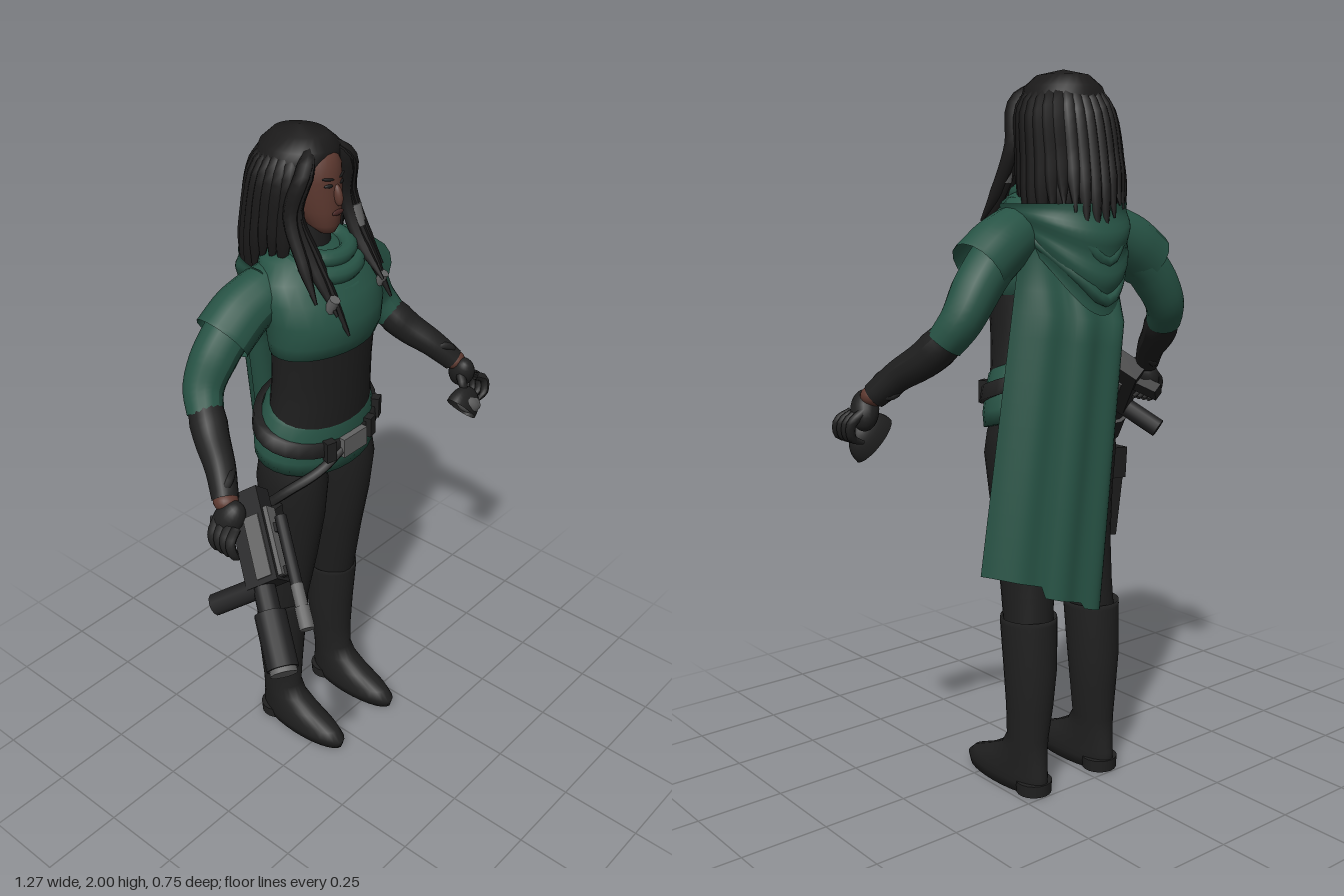
import * as THREE from 'three';

const mat = (name, color, side = THREE.FrontSide) => {
  const m = new THREE.MeshStandardMaterial({ color, side });
  m.name = name;
  return m;
};
const V = (a) => new THREE.Vector3(...a);
const CX = 0.06; // the body's centre line

// Stacked ellipses, rows ascending: [y, x, z, halfWidth, halfDepth]; tilt lowers the front
function loft(rows, sides = 28, tilt = 0) {
  const pos = [], idx = [];
  rows.forEach(([y, x, z, rx, rz], j) => {
    for (let i = 0; i < sides; i++) {
      const a = (i / sides) * Math.PI * 2;
      pos.push(x + rx * Math.cos(a), y - tilt * Math.sin(a), z + rz * Math.sin(a));
      if (j === rows.length - 1) continue;
      const p = j * sides + i, q = j * sides + (i + 1) % sides;
      idx.push(p, p + sides, q, q, p + sides, q + sides);
    }
  });
  const g = new THREE.BufferGeometry();
  g.setAttribute('position', new THREE.Float32BufferAttribute(pos, 3));
  g.setIndex(idx);
  g.computeVertexNormals();
  return g;
}

// Tube whose radius follows a list of radii
function sweep(points, radii, sides = 12, segs = 16) {
  const curve = new THREE.CatmullRomCurve3(points.map(V));
  const g = new THREE.TubeGeometry(curve, segs, 1, sides);
  const p = g.attributes.position, v = new THREE.Vector3();
  for (let i = 0; i <= segs; i++) {
    const c = curve.getPointAt(i / segs), f = (i / segs) * (radii.length - 1);
    const k = Math.min(Math.floor(f), radii.length - 2);
    const r = THREE.MathUtils.lerp(radii[k], radii[k + 1], f - k);
    for (let j = 0; j <= sides; j++) {
      const n = i * (sides + 1) + j;
      v.fromBufferAttribute(p, n).sub(c).multiplyScalar(r).add(c);
      p.setXYZ(n, v.x, v.y, v.z);
    }
  }
  g.computeVertexNormals();
  return g;
}

// Cloth sheet from a function of u and v
function sheet(fn, nu, nv) {
  const g = new THREE.PlaneGeometry(1, 1, nu, nv), p = g.attributes.position;
  for (let i = 0; i < p.count; i++) p.setXYZ(i, ...fn(p.getX(i) + 0.5, 0.5 - p.getY(i)));
  g.computeVertexNormals();
  return g;
}

export function createModel() {
  const root = new THREE.Group();
  const green = mat('green cloth', 0x275345, THREE.DoubleSide);
  const suit = mat('black suit', 0x1e1e1e);
  const leather = mat('dark leather', 0x202020, THREE.DoubleSide);
  const hair = mat('black hair', 0x1b1a1a);
  const skin = mat('brown skin', 0x5c382f);
  const lip = mat('dark lips', 0x4a2826);
  const gun = mat('gun black', 0x222223);
  const metal = mat('grey metal', 0x626262);

  const add = (name, geo, m, pos = [0, 0, 0], rot = [0, 0, 0], parent = root, scale = [1, 1, 1]) => {
    const o = new THREE.Mesh(geo, m);
    o.name = name;
    o.position.set(...pos);
    o.rotation.set(...rot);
    o.scale.set(...scale);
    parent.add(o);
  };
  const box = (w, h, d) => new THREE.BoxGeometry(w, h, d);
  const ball = new THREE.SphereGeometry(1, 20, 14);

  // Torso
  add('waist', loft([[1.15, CX, -0.11, 0.185, 0.12], [1.25, CX, -0.1, 0.174, 0.116],
    [1.32, CX, -0.095, 0.172, 0.113], [1.42, CX, -0.09, 0.178, 0.113]]), suit);
  add('croppedTop', loft([[1.405, CX, -0.09, 0.165, 0.1], [1.41, CX, -0.09, 0.184, 0.118],
    [1.45, CX, -0.085, 0.192, 0.13], [1.51, CX, -0.085, 0.195, 0.135], [1.57, CX, -0.1, 0.2, 0.125],
    [1.62, CX, -0.13, 0.185, 0.115], [1.665, CX, -0.15, 0.15, 0.1], [1.69, CX, -0.15, 0.07, 0.06]]), green);
  add('hipWrap', loft([[1.055, CX, -0.125, 0, 0], [1.06, CX, -0.125, 0.216, 0.137],
    [1.1, CX, -0.124, 0.22, 0.137], [1.15, CX, -0.118, 0.208, 0.13], [1.205, CX, -0.11, 0.188, 0.124],
    [1.22, CX, -0.105, 0.17, 0.11]], 28, 0.035), green);
  add('belt', loft([[1.135, CX, -0.12, 0.21, 0.12], [1.135, CX, -0.12, 0.226, 0.143],
    [1.178, CX, -0.12, 0.218, 0.139], [1.178, CX, -0.12, 0.19, 0.12]], 28, 0.05), leather);
  add('buckle', box(0.1, 0.06, 0.02), metal, [CX, 1.103, 0.022]);
  [[-0.03, 1.11, 0.008], [0.145, 1.112, 0.006], [0.212, 1.135, -0.025]].forEach((p) =>
    add('beltPouch', box(0.032, 0.062, 0.035), leather, p, [0, (p[0] - CX) * 3, 0]));
  add('neck', loft([[1.64, CX, -0.14, 0.062, 0.06], [1.77, CX, -0.13, 0.05, 0.05]]), suit);

  // Neck cowl folds
  [[1.68, 0.075, 0.024], [1.65, 0.094, 0.026], [1.61, 0.106, 0.025], [1.57, 0.108, 0.02]].forEach(([y, r, t], i) =>
    add('cowlFold', new THREE.TorusGeometry(r, t, 10, 32), green, [CX + 0.005, y, -0.105],
      [Math.PI / 2 + 0.2 + i * 0.09, 0, 0], root, [1.1, 1, 1]));

  // Legs, boots and arms, mirrored about the centre line
  for (const s of [-1, 1]) {
    const X = (d) => CX + s * d, side = s > 0 ? 'left' : 'right';
    const rows = (list) => list.map(([y, d, ...r]) => [y, X(d), ...r]);
    add(side + 'Trouser', loft(rows([[0.46, 0.118, -0.165, 0.066, 0.072], [0.58, 0.11, -0.15, 0.071, 0.08],
      [0.7, 0.104, -0.137, 0.079, 0.089], [0.85, 0.104, -0.125, 0.088, 0.105],
      [0.97, 0.106, -0.122, 0.099, 0.113], [1.03, 0.104, -0.122, 0.094, 0.104], [1.09, 0.1, -0.122, 0.08, 0.09]])), suit);
    add(side + 'Boot', loft(rows([[0.0, 0.126, -0.08, 0, 0], [0.0, 0.126, -0.075, 0.05, 0.162],
      [0.03, 0.126, -0.075, 0.057, 0.17], [0.055, 0.126, -0.09, 0.056, 0.155], [0.085, 0.126, -0.125, 0.054, 0.115],
      [0.12, 0.126, -0.155, 0.052, 0.082], [0.16, 0.125, -0.168, 0.054, 0.067], [0.25, 0.121, -0.172, 0.063, 0.072],
      [0.36, 0.119, -0.173, 0.073, 0.079], [0.5, 0.118, -0.165, 0.079, 0.083], [0.515, 0.118, -0.165, 0.078, 0.082],
      [0.5, 0.118, -0.165, 0.062, 0.066]])), leather);
    add(side + 'BootHeel', new THREE.CylinderGeometry(0.052, 0.05, 0.035, 18), leather, [X(0.126), 0.0175, -0.197]);
    add(side + 'CapSleeve', sweep([[X(0.1), 1.6, -0.16], [X(0.17), 1.568, -0.17], [X(0.23), 1.537, -0.18],
      [X(0.3), 1.485, -0.185]], [0.064, 0.077, 0.082, 0.083], 16), green);
    add(side + 'Sleeve', sweep([[X(0.22), 1.54, -0.185], [X(0.31), 1.445, -0.198], [X(0.365), 1.36, -0.198],
      [X(0.395), 1.3, -0.165]], [0.066, 0.066, 0.064, 0.057, 0.05], 16), green);
    add(side + 'LongGlove', sweep([[X(0.375), 1.335, -0.19], [X(0.42), 1.26, -0.12], [X(0.46), 1.21, -0.05],
      [X(0.5), 1.155, 0.005]], [0.045, 0.052, 0.047, 0.041, 0.036], 14), suit);
    add(side + 'GloveCuff', new THREE.TorusGeometry(0.034, 0.012, 8, 20), leather, [X(0.475), 1.185, -0.022],
      [0.75, -s * 0.6, 0]);
    add(side + 'WristSkin', ball, skin, [X(0.502), 1.155, 0.008], [0, 0, 0], root, [0.034, 0.028, 0.034]);
    // Hand and curled fingers
    add(side + 'Palm', ball, leather, [X(0.515), 1.115, 0.03], [0.5, 0, s * 0.3], root, [0.037, 0.058, 0.042]);
    for (let i = 0; i < 4; i++) {
      const z = 0.005 + i * 0.022;
      add(side + 'Finger', sweep([[X(0.53), 1.12 - i * 0.004, z], [X(0.565), 1.085, z + 0.012],
        [X(0.558), 1.045, z + 0.02], [X(0.525), 1.03, z + 0.02]], [0.013, 0.014, 0.013, 0.006], 8, 10), leather);
    }
    add(side + 'Thumb', sweep([[X(0.5), 1.13, 0.03], [X(0.475), 1.1, 0.065], [X(0.48), 1.06, 0.08]],
      [0.014, 0.015, 0.006], 8, 8), leather);
  }

  // Curved shell held in the left hand
  const shell = new THREE.Group();
  shell.name = 'heldShell';
  shell.position.set(0.52, 1.02, 0.075);
  shell.rotation.z = -0.8;
  root.add(shell);
  add('shellDome', new THREE.SphereGeometry(0.075, 20, 10, 0, Math.PI * 2, 0, Math.PI / 2), leather,
    [0, 0, 0], [0, 0, 0], shell, [1, 1, 0.55]);
  add('shellCore', ball, metal, [0, 0.025, 0.01], [0, 0, 0], shell, [0.05, 0.028, 0.036]);
  add('shellPlate', ball, metal, [0.012, 0.038, 0.031], [-0.5, 0, 0], shell, [0.028, 0.018, 0.009]);

  // Thigh holster
  add('holster', box(0.045, 0.23, 0.075), leather, [-0.16, 0.8, -0.115], [0, 0, 0.14]);
  add('holsterFlap', box(0.055, 0.09, 0.09), leather, [-0.17, 0.9, -0.115], [0, 0, 0.06]);
  add('holsterStrap', sweep([[0.03, 1.1, 0.017], [-0.06, 1.05, 0.0], [-0.135, 0.99, -0.06], [-0.165, 0.94, -0.11]],
    [0.014, 0.016, 0.016], 6), leather);

  // Cape with a stepped hem, its edges curling forward
  add('cape', sheet((u, v) => {
    const hem = 0.54 + 0.1 * u + (u > 0.62 ? 0.03 : 0) + (u > 0.3 ? 0.015 : 0), w = Math.min(1, v * 4);
    const curl = u < 0.2 ? 0.08 * (1 - u / 0.2) ** 2 : 0.12 * ((u - 0.2) / 0.8) ** 2;
    return [THREE.MathUtils.lerp(-0.08 + 0.33 * u, 0.02 + 0.375 * u, v), THREE.MathUtils.lerp(1.6, hem, v),
      -0.23 + w * (curl - 0.12 + 0.005 * Math.sin(u * 22))];
  }, 40, 16), green);
  // Hood lying on the back
  add('hood', sheet((u, v) => {
    const a = u * Math.PI, b = Math.sin(a), bulge = Math.sin(v * Math.PI);
    return [0.07 + (0.19 - 0.03 * v) * Math.cos(a), 1.65 - 0.09 * v - 0.2 * v * b * b,
      -0.15 - (0.195 + 0.025 * bulge) * b + 0.006 * Math.sin(v * 16)];
  }, 32, 16), green);
  for (let i = 0; i < 2; i++) {
    const y = 1.56 - i * 0.1;
    add('hoodFold', sweep([[-0.1, 1.62 - i * 0.03, -0.2], [0, y, -0.33], [0.07, y - 0.06, -0.355],
      [0.14, y, -0.33], [0.24, 1.62 - i * 0.03, -0.2]], [0.012, 0.016, 0.017, 0.016, 0.012], 8, 24), green);
  }

  // Head and face
  add('face', loft([[1.722, CX, -0.075, 0, 0], [1.726, CX, -0.075, 0.022, 0.022], [1.75, CX, -0.092, 0.045, 0.052],
    [1.79, CX, -0.112, 0.058, 0.075], [1.83, CX, -0.118, 0.065, 0.08], [1.87, CX, -0.12, 0.067, 0.08],
    [1.91, CX, -0.122, 0.066, 0.08], [1.945, CX, -0.13, 0.052, 0.07], [1.97, CX, -0.14, 0, 0]]), skin);
  add('nose', ball, skin, [CX, 1.835, -0.037], [-0.25, 0, 0], root, [0.012, 0.03, 0.014]);
  add('lips', ball, lip, [CX, 1.787, -0.037], [0, 0, 0], root, [0.022, 0.008, 0.005]);
  for (const s of [-1, 1]) {
    add('eye', ball, hair, [CX + s * 0.026, 1.863, -0.046], [0, s * 0.4, 0], root, [0.013, 0.005, 0.004]);
    add('eyebrow', ball, hair, [CX + s * 0.027, 1.881, -0.047], [0, s * 0.4, s * 0.15], root, [0.018, 0.004, 0.004]);
  }

  // Hair mass, then long locks
  add('hairMass', loft([[1.6, CX + 0.01, -0.275, 0, 0], [1.62, CX + 0.01, -0.265, 0.115, 0.065],
    [1.7, CX + 0.01, -0.24, 0.128, 0.085], [1.78, CX + 0.005, -0.215, 0.13, 0.1], [1.86, CX, -0.19, 0.126, 0.11],
    [1.91, CX, -0.175, 0.118, 0.114], [1.95, CX, -0.167, 0.1, 0.11], [1.98, CX, -0.165, 0.064, 0.078],
    [1.995, CX, -0.168, 0, 0]]), hair);
  for (let i = 0; i < 21; i++) {
    const a = Math.PI * (0.82 + (i / 20) * 1.36), c = Math.cos(a), n = Math.sin(a), j = Math.sin(i * 7.3);
    add('backLock', sweep([[CX + 0.04 * c, 1.972, -0.17 + 0.04 * n], [CX + 0.108 * c, 1.9, -0.175 + 0.104 * n],
      [CX + 0.126 * c, 1.76, -0.195 + 0.12 * n], [CX + 0.01 + 0.14 * c, 1.6 + 0.045 * j, -0.215 + 0.14 * n]],
    [0.012, 0.024, 0.025, 0.022, 0.003], 7, 14), hair);
  }
  // Front locks: [x at cheek, tip x, tip y, tip z]
  [[-0.04, 0.0, 1.48, 0.055], [-0.045, -0.025, 1.54, 0.035], [-0.06, -0.07, 1.58, 0.0],
    [0.16, 0.195, 1.52, 0.04], [0.155, 0.165, 1.58, 0.035], [0.175, 0.21, 1.6, -0.005]].forEach(([x, ex, ey, ez]) =>
    add('frontLock', sweep([[CX + (x > 0 ? 0.012 : -0.012), 1.972, -0.115], [THREE.MathUtils.lerp(CX, x, 0.75), 1.91, -0.075],
      [x, 1.8, -0.095], [(x + ex) / 2, 1.68, -0.05], [ex, ey, ez]],
    [0.01, 0.022, 0.022, 0.02, 0.017, 0.004], 7, 20), hair));
  [[-0.027, 1.57, 0.018, 0.016, 0.5], [0.174, 1.735, -0.072, 0.022, -0.3], [0.187, 1.57, 0.012, 0.014, 0.5]].forEach(
    ([x, y, z, r, tilt]) => add('hairBead', new THREE.CylinderGeometry(r, r, r * 2.7, 8), metal, [x, y, z], [tilt, 0, 0]));

  // Blaster held in the right hand: local z runs to the muzzle, y towards the sight
  const blaster = new THREE.Group();
  blaster.name = 'blaster';
  const f = V([-0.44, -0.57, 0.69]).normalize();
  const sideAxis = V([0.45, 0.5, 0.72]).cross(f).normalize();
  blaster.quaternion.setFromRotationMatrix(new THREE.Matrix4().makeBasis(sideAxis, f.clone().cross(sideAxis), f));
  blaster.position.set(-0.4, 1.12, 0.04);
  root.add(blaster);
  const rod = (name, r, len, m, y, z) => add(name, new THREE.CylinderGeometry(r, r, len, 14), m, [0, y, z],
    [Math.PI / 2, 0, 0], blaster);
  add('receiver', box(0.062, 0.095, 0.26), gun, [0, 0.012, 0.09], [0, 0, 0], blaster);
  for (const s of [-1, 1]) add('sidePlate', box(0.006, 0.045, 0.17), metal, [s * 0.032, 0.025, 0.12], [0, 0, 0], blaster);
  add('topRail', box(0.042, 0.016, 0.19), metal, [0, 0.064, 0.115], [0, 0, 0], blaster);
  rod('barrel', 0.03, 0.22, gun, 0, 0.3);
  rod('barrelShroud', 0.042, 0.15, gun, 0, 0.365);
  rod('muzzle', 0.036, 0.02, metal, 0, 0.444);
  rod('sight', 0.016, 0.19, gun, 0.094, 0.15);
  rod('sightBarrel', 0.017, 0.06, metal, 0.094, 0.275);
  rod('sightLens', 0.02, 0.06, metal, 0.094, 0.335);
  [0.08, 0.2].forEach((z) => add('sightMount', box(0.015, 0.05, 0.025), gun, [0, 0.072, z], [0, 0, 0], blaster));
  add('magazine', new THREE.CylinderGeometry(0.03, 0.03, 0.14, 12), gun, [0, -0.085, 0.215], [0, 0, 0], blaster);
  add('grip', box(0.035, 0.1, 0.045), gun, [0, -0.06, 0.02], [0.3, 0, 0], blaster);

  return root;
}
